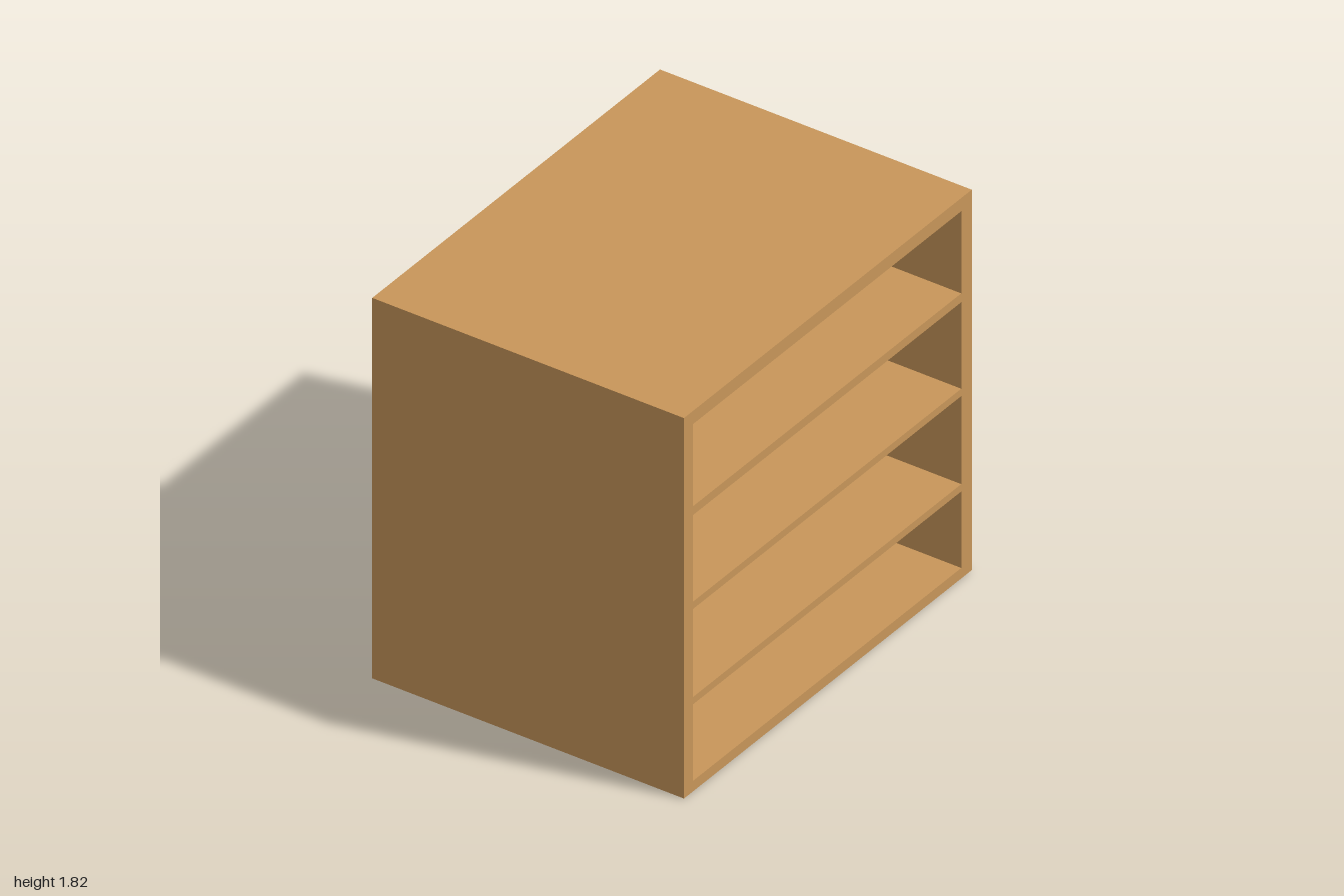
import * as THREE from 'three';

const WIDTH = 1.51, HEIGHT = 1.815, DEPTH = 2, BACK = 0.06;

// Bottom and top height of each compartment
const COMPARTMENTS = [[0.05, 0.415], [0.45, 0.87], [0.905, 1.318], [1.36, 1.752]];

function rectangle(path, x0, y0, x1, y1) {
  path.moveTo(x0, y0);
  path.lineTo(x1, y0);
  path.lineTo(x1, y1);
  path.lineTo(x0, y1);
  path.closePath();
  return path;
}

export function createModel() {
  const group = new THREE.Group();
  group.name = 'shelfCabinet';
  const wood = new THREE.MeshStandardMaterial({ color: 0xc8965a });
  wood.name = 'lightWood';

  // Frame and shelves: one profile with four openings, turned to open towards +x
  const profile = rectangle(new THREE.Shape(), -DEPTH / 2, 0, DEPTH / 2, HEIGHT);
  for (const [y0, y1] of COMPARTMENTS) {
    profile.holes.push(rectangle(new THREE.Path(), -0.938, y0, 0.927, y1));
  }
  const frameGeometry = new THREE.ExtrudeGeometry(profile, { depth: WIDTH - BACK, bevelEnabled: false });
  frameGeometry.rotateY(Math.PI / 2);
  const frame = new THREE.Mesh(frameGeometry, wood);
  frame.name = 'frameAndShelves';
  frame.position.x = -WIDTH / 2 + BACK;
  group.add(frame);

  // Panel closing the compartments on the far side
  const panel = new THREE.Mesh(new THREE.BoxGeometry(BACK, HEIGHT, DEPTH), wood);
  panel.name = 'backPanel';
  panel.position.set(-WIDTH / 2 + BACK / 2, HEIGHT / 2, 0);
  group.add(panel);

  return group;
}
